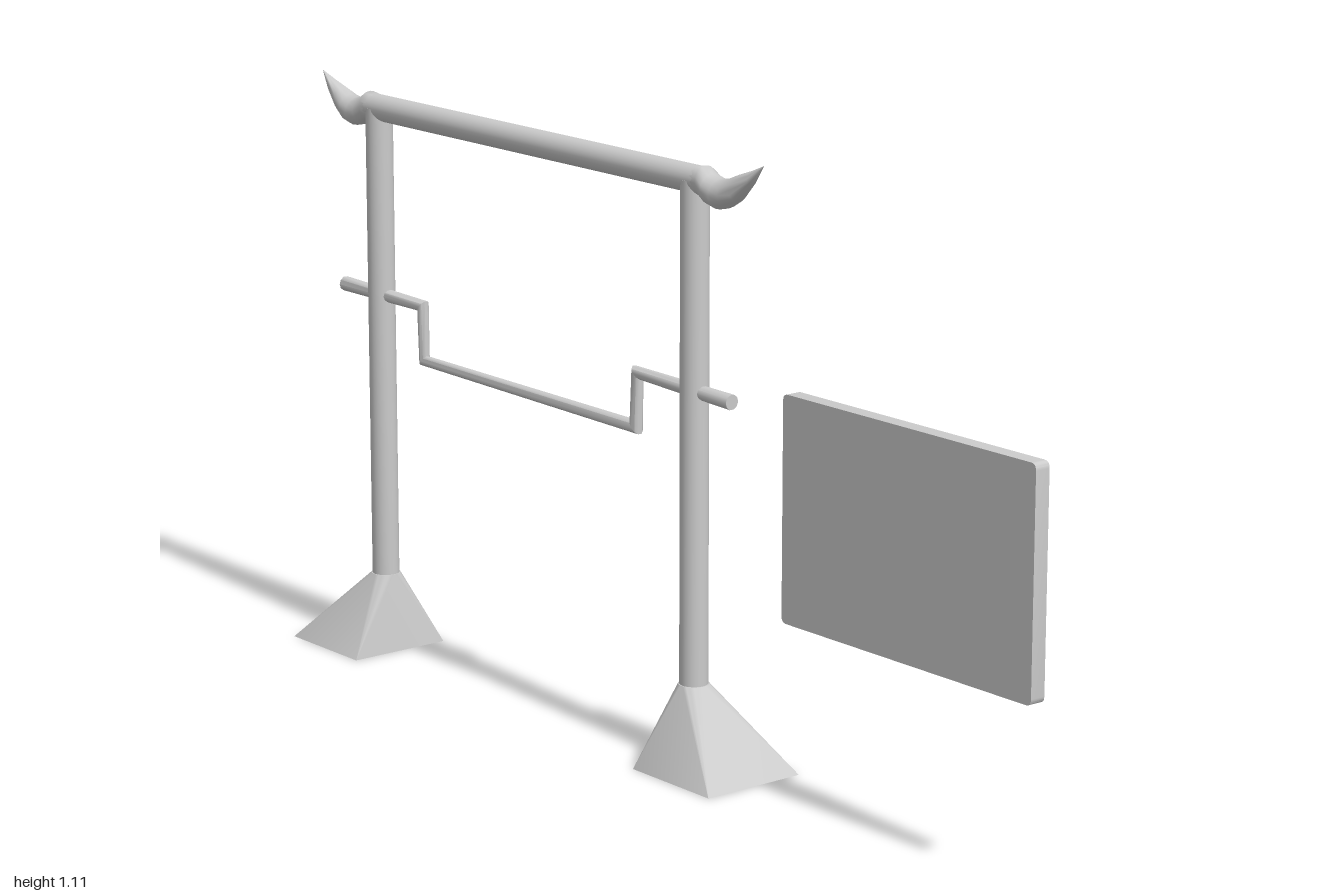
import * as THREE from 'three';
import { toCreasedNormals } from 'three/addons/utils/BufferGeometryUtils.js';

const MID_Z = -0.336; // centre of the gate along z
const material = new THREE.MeshStandardMaterial({ color: 0xcccccc });

function part(name, geometry, x = 0, y = 0, z = 0) {
  const mesh = new THREE.Mesh(geometry, material);
  mesh.name = name;
  mesh.position.set(x, y, z);
  return mesh;
}

// Skin a list of equally sized point rings running towards +z
function loft(rings, crease = 0.7) {
  const n = rings[0].length;
  const index = [];
  for (let j = 0; j < rings.length - 1; j++) {
    for (let i = 0; i < n; i++) {
      const a = j * n + i, b = j * n + (i + 1) % n;
      index.push(a, b, b + n, a, b + n, a + n);
    }
  }
  const geometry = new THREE.BufferGeometry().setFromPoints(rings.flat());
  geometry.setIndex(index);
  return toCreasedNormals(geometry, crease);
}

function ring(sides, fn) {
  return Array.from({ length: sides }, (_, i) => {
    const t = (i / sides) * Math.PI * 2;
    return fn(Math.cos(t), Math.sin(t));
  });
}

// Upturned beam tip: sections as z, y, half width, half height
function hornGeometry() {
  const sections = [
    [0.135, 1.06, 0, 0], [0.135, 1.06, 0.024, 0.024], [0.162, 1.06, 0.026, 0.028],
    [0.18, 1.049, 0.029, 0.027], [0.203, 1.044, 0.03, 0.027], [0.225, 1.048, 0.028, 0.026],
    [0.25, 1.06, 0.022, 0.024], [0.285, 1.083, 0.012, 0.013], [0.317, 1.109, 0, 0],
  ];
  return loft(sections.map(([z, y, rx, ry]) =>
    ring(16, (c, s) => new THREE.Vector3(rx * c, y + ry * s, z - MID_Z))), 1);
}

// Foot: round top blending into a square bottom that is shifted outwards
function footGeometry() {
  const sides = 24, height = 0.15;
  const geometry = new THREE.CylinderGeometry(0.028, 0.1, height, sides, 1, false, Math.PI / sides);
  const p = geometry.attributes.position;
  for (let i = 0; i < p.count; i++) {
    if (p.getY(i) < 0) {
      p.setXYZ(i, Math.sign(p.getX(i)) * 0.104, -height / 2, Math.sign(p.getZ(i)) * 0.105 + 0.062);
    }
  }
  return toCreasedNormals(geometry, 0.5);
}

// Cranked bar with mitred bends: points as z, y, radius
function barGeometry() {
  const path = [
    [-0.925, 0.701, 0.014], [-0.672, 0.699, 0.011], [-0.669, 0.594, 0.01],
    [-0.03, 0.588, 0.012], [-0.026, 0.688, 0.011], [0.235, 0.682, 0.014],
  ];
  const normals = path.slice(1).map(([z, y], i) =>
    new THREE.Vector2(-(y - path[i][1]), z - path[i][0]).normalize());
  const rings = path.map(([z, y, r], i) => {
    const a = normals[Math.max(i - 1, 0)], b = normals[Math.min(i, normals.length - 1)];
    const m = a.clone().add(b).divideScalar(1 + a.dot(b));
    return ring(10, (c, s) => new THREE.Vector3(r * c, y + r * s * m.y, z + r * s * m.x));
  });
  // Close both ends
  const cap = ([z, y]) => ring(10, () => new THREE.Vector3(0, y, z));
  return loft([cap(path[0]), ...rings, cap(path[path.length - 1])]);
}

// Upright board with slightly rounded corners
function boardGeometry() {
  const w = 0.31, h = 0.203, r = 0.012;
  const shape = new THREE.Shape();
  shape.moveTo(-w + r, -h);
  shape.lineTo(w - r, -h);
  shape.quadraticCurveTo(w, -h, w, -h + r);
  shape.lineTo(w, h - r);
  shape.quadraticCurveTo(w, h, w - r, h);
  shape.lineTo(-w + r, h);
  shape.quadraticCurveTo(-w, h, -w, h - r);
  shape.lineTo(-w, -h + r);
  shape.quadraticCurveTo(-w, -h, -w + r, -h);
  const geometry = new THREE.ExtrudeGeometry(shape, { depth: 0.03, bevelEnabled: false, curveSegments: 5 });
  geometry.translate(0, 0, -0.015).rotateY(Math.PI / 2);
  return toCreasedNormals(geometry, 0.6);
}

export function createModel() {
  const model = new THREE.Group();
  model.name = 'gate';

  // Both ends of the gate: foot, post and beam tip, turned about the middle
  const horn = hornGeometry(), foot = footGeometry();
  const post = new THREE.CylinderGeometry(0.026, 0.026, 0.92, 24);
  ['front', 'back'].forEach((name, i) => {
    const end = new THREE.Group();
    end.name = name + 'End';
    end.position.z = MID_Z;
    end.rotation.y = i * Math.PI;
    end.add(
      part(name + 'Foot', foot, 0, 0.075, 0.469),
      part(name + 'Post', post, 0, 0.6, 0.469),
      part(name + 'BeamTip', horn),
    );
    model.add(end);
  });

  // Top beam
  const beam = new THREE.CylinderGeometry(0.025, 0.025, 0.99, 24);
  beam.rotateX(Math.PI / 2);
  model.add(part('topBeam', beam, 0, 1.06, MID_Z));

  model.add(part('crankedBar', barGeometry()));
  model.add(part('board', boardGeometry(), 0.007, 0.523, 0.69));
  return model;
}
